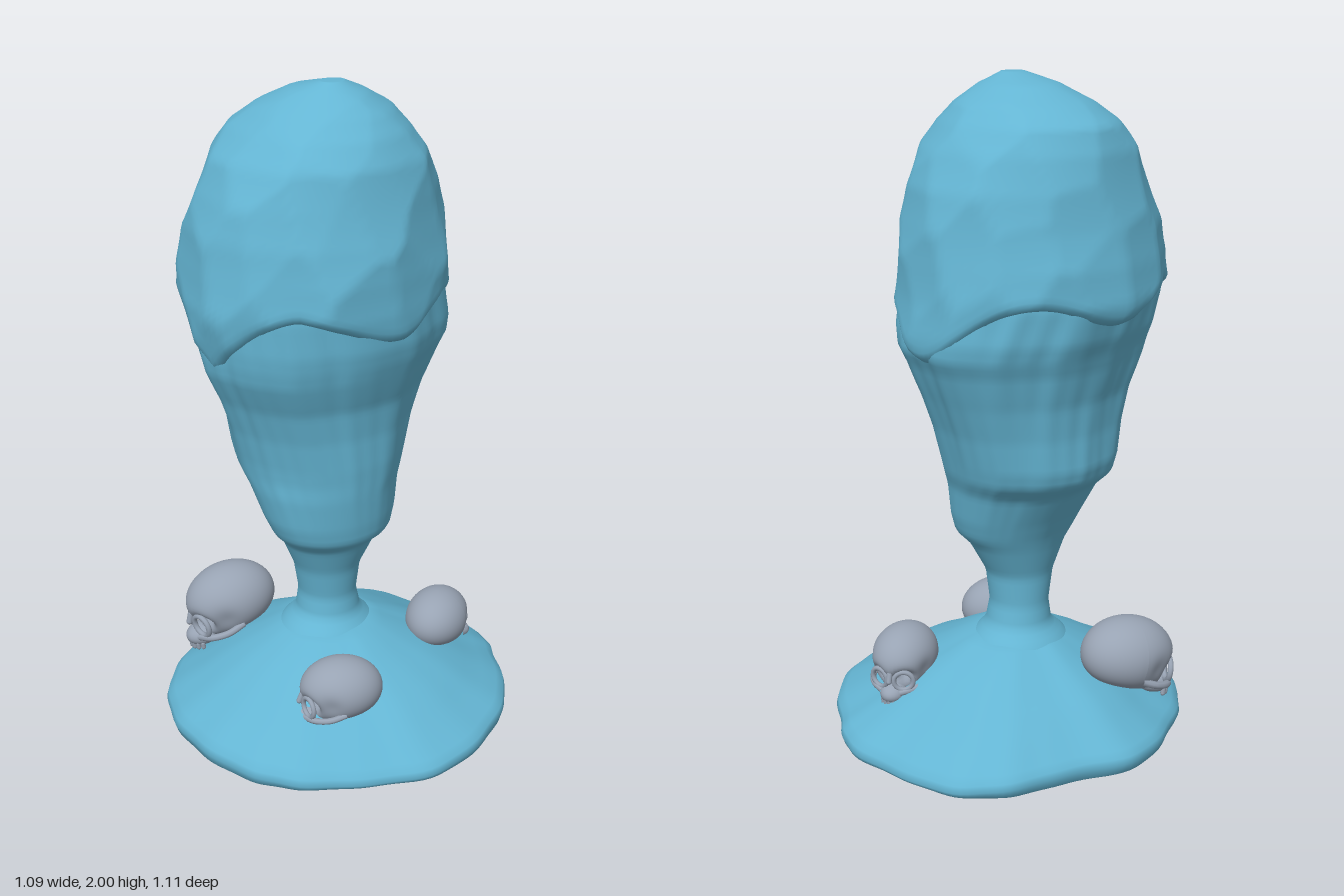
import * as THREE from 'three';

// Body silhouette: y, min x, max x, min z, max z
const STEM = [
  [0.24, -0.2, 0.13, -0.15, 0.19], [0.28, -0.185, 0.11, -0.135, 0.175], [0.33, -0.14, 0.065, -0.085, 0.12],
  [0.4, -0.13, 0.055, -0.07, 0.11], [0.5, -0.135, 0.07, -0.08, 0.13], [0.6, -0.165, 0.11, -0.135, 0.175],
  [0.64, -0.18, 0.155, -0.17, 0.215], [0.7, -0.21, 0.165, -0.19, 0.24], [0.8, -0.27, 0.175, -0.21, 0.265],
  [0.85, -0.33, 0.18, -0.235, 0.275], [0.9, -0.345, 0.185, -0.25, 0.285], [1.0, -0.345, 0.19, -0.28, 0.31],
  [1.1, -0.355, 0.205, -0.32, 0.345], [1.2, -0.385, 0.245, -0.365, 0.395], [1.25, -0.405, 0.265, -0.395, 0.41],
];
const HOOD = [
  [1.3, -0.43, 0.28, -0.4, 0.42], [1.4, -0.46, 0.29, -0.385, 0.43], [1.5, -0.45, 0.285, -0.375, 0.42],
  [1.6, -0.425, 0.27, -0.36, 0.405], [1.7, -0.405, 0.25, -0.34, 0.37], [1.8, -0.385, 0.23, -0.29, 0.32],
  [1.87, -0.355, 0.19, -0.24, 0.255], [1.92, -0.28, 0.14, -0.19, 0.195], [1.97, -0.17, 0.07, -0.1, 0.115],
  [2.0, -0.04, 0.02, -0.02, 0.05],
];
const TABLE = [...STEM, ...HOOD];

function sectionAt(y) {
  let i = 0;
  while (i < TABLE.length - 2 && y > TABLE[i + 1][0]) i++;
  const a = TABLE[i], b = TABLE[i + 1];
  const t = THREE.MathUtils.clamp((y - a[0]) / (b[0] - a[0]), 0, 1);
  const s = a.map((v, k) => v + (b[k] - v) * t);
  return { cx: (s[1] + s[2]) / 2, hx: (s[2] - s[1]) / 2, cz: (s[3] + s[4]) / 2, hz: (s[4] - s[3]) / 2 };
}

// Closed rings from bottom to top; angle 0 faces +z and grows towards +x
function loft(rows, cols, point) {
  const pos = [], idx = [];
  for (let i = 0; i <= rows; i++) {
    for (let j = 0; j < cols; j++) pos.push(...point(i, (j / cols) * Math.PI * 2));
  }
  for (let i = 0; i < rows; i++) {
    for (let j = 0; j < cols; j++) {
      const k = (j + 1) % cols, a = i * cols, b = a + cols;
      idx.push(a + j, a + k, b + k, a + j, b + k, b + j);
    }
  }
  const g = new THREE.BufferGeometry();
  g.setAttribute('position', new THREE.Float32BufferAttribute(pos, 3));
  g.setIndex(idx);
  g.computeVertexNormals();
  return g;
}

// Facet directions that chisel the hood
let seed = 7;
const rand = () => (seed = (seed * 16807) % 2147483647) / 2147483647;
const FACETS = Array.from({ length: 80 }, (_, i) => {
  const y = 1 - (2 * i + 1) / 80, r = Math.sqrt(1 - y * y), a = i * 2.39996;
  return new THREE.Vector3(Math.cos(a) * r + (rand() - 0.5) * 0.25, y + (rand() - 0.5) * 0.25,
    Math.sin(a) * r + (rand() - 0.5) * 0.25).normalize();
});
const chisel = (d) => 0.985 / Math.max(...FACETS.map((f) => f.dot(d)));

// Scalloped lower edge of the hood: pointed dip in front, soft dips elsewhere
function lipHeight(a) {
  const wrap = (c) => Math.abs(Math.atan2(Math.sin(a - c), Math.cos(a - c)));
  const dip = (c, s) => Math.exp(-((wrap(c) / s) ** 2));
  return 1.43 - 0.21 * Math.max(0, 1 - wrap(0) / 0.85) ** 1.4 - 0.1 * dip(Math.PI / 2, 0.5)
    - 0.08 * dip(-Math.PI / 2, 0.45) - 0.19 * dip(Math.PI, 0.5);
}

function hoodGeometry() {
  return loft(56, 120, (i, a) => {
    const lip = lipHeight(a);
    // first rows curl under the lip
    const y = i < 4 ? lip + [0.04, 0.004, -0.008, 0.006][i]
      : lip + (2 - lip) * Math.sin(((i - 3) / 53) * Math.PI / 2);
    const inset = i < 4 ? [0.9, 0.94, 0.965, 0.988][i] : 1;
    const s = sectionAt(y), size = i === 56 ? 0 : inset;
    const x = s.hx * Math.sin(a) * size, z = s.hz * Math.cos(a) * size;
    const k = chisel(new THREE.Vector3(x / 0.375, (y - 1.4) / 0.6, z / 0.405).normalize());
    return [s.cx + x * k, y, s.cz + z * k];
  });
}

// Draped folds below the hood, narrowing into the stem
function skirtGeometry() {
  return loft(80, 144, (i, a) => {
    const y = 0.24 + (i / 80) * 1.26, s = sectionAt(y);
    const inset = 1 - 0.045 * THREE.MathUtils.smoothstep(y, 1.1, 1.45);
    const fade = THREE.MathUtils.smoothstep(y, 0.5, 1.1);
    const twist = a + 0.35 * (y - 1) * Math.sin(a + 0.5);
    const fold = 0.014 * Math.sin(7 * twist + 2 * y) + 0.009 * Math.sin(13 * twist - 3 * y)
      + 0.006 * Math.sin(29 * twist + 2) * Math.sin(3 * a + 4 * y);
    const k = inset * (1 + (fold - 0.01) * fade);
    return [s.cx + s.hx * Math.sin(a) * k, y, s.cz + s.hz * Math.cos(a) * k];
  });
}

// Spreading foot: irregular rim seen from above (x, z) and profile (fraction of rim, y)
const RIM = new THREE.CatmullRomCurve3([
  [0, 0.55], [0.2, 0.51], [0.33, 0.42], [0.45, 0.25], [0.54, 0.05], [0.505, -0.18], [0.4, -0.36],
  [0.22, -0.49], [0.1, -0.55], [-0.1, -0.535], [-0.3, -0.48], [-0.41, -0.36], [-0.47, -0.18],
  [-0.545, 0.03], [-0.48, 0.24], [-0.37, 0.41], [-0.2, 0.52],
].map(([x, z]) => new THREE.Vector3(x, 0, z)), true);
const FOOT = [[0, 0.05], [0.45, 0.042], [0.75, 0.02], [0.9, 0.003], [0.95, 0], [0.985, 0.012], [1, 0.035],
  [0.99, 0.055], [0.95, 0.075], [0.87, 0.103], [0.77, 0.138], [0.65, 0.178], [0.52, 0.218], [0.4, 0.254],
  [0.3, 0.283], [0.22, 0.3], [0, 0.305]];
function footGeometry() {
  return loft(FOOT.length - 1, 136, (i, a) => {
    const [f, h] = FOOT[i];
    const p = RIM.getPoint(a / (Math.PI * 2));
    const wave = i > 5 ? f * f * 0.008 * Math.sin(3 * a + 1) + 0.004 * f * Math.sin(2 * a + f * 16) : 0;
    const ripple = 1 + 0.005 * Math.sin(19 * a) * f;
    return [p.x * f * ripple - 0.035 * (1 - f), h + wave, p.z * f * ripple + 0.018 * (1 - f)];
  });
}

// Bumps and hollows of the cranium: direction, height, sharpness
const FEATURES = [[0, -1, -0.35, -0.022, 5], [0, -0.36, 0.93, -0.025, 130], [0, -0.7, 0.7, 0.012, 12]];
for (const s of [-1, 1]) {
  FEATURES.push([s * 0.35, -0.28, 0.9, -0.055, 38], [s * 0.92, -0.15, 0.5, -0.01, 18]);
}
const FEATURE_DIRS = FEATURES.map((f) => new THREE.Vector3(f[0], f[1], f[2]).normalize());

function craniumGeometry() {
  const g = new THREE.SphereGeometry(1, 64, 48), p = g.attributes.position, d = new THREE.Vector3();
  for (let i = 0; i < p.count; i++) {
    d.fromBufferAttribute(p, i).normalize();
    let r = 1 / Math.hypot(d.x / 0.104, d.y / 0.102, d.z / 0.132);
    FEATURES.forEach((f, k) => { r += f[3] * Math.exp(-f[4] * (1 - d.dot(FEATURE_DIRS[k]))); });
    p.setXYZ(i, d.x * r, d.y * r, d.z * r);
  }
  g.computeVertexNormals();
  return g;
}

export function createModel() {
  const teal = new THREE.MeshStandardMaterial({ color: 0x64b5d3 });
  teal.name = 'teal stone';
  const grey = new THREE.MeshStandardMaterial({ color: 0x98a3b3 });
  grey.name = 'grey bone';
  const model = new THREE.Group();
  const add = (parent, geometry, material, name) => {
    const mesh = new THREE.Mesh(geometry, material);
    mesh.name = name;
    parent.add(mesh);
    return mesh;
  };

  add(model, footGeometry(), teal, 'foot');
  add(model, skirtGeometry(), teal, 'drapedStem');
  add(model, hoodGeometry(), teal, 'hood');

  // Shared skull parts, facing +z
  const cranium = craniumGeometry();
  const muzzle = new THREE.SphereGeometry(1, 24, 16).scale(0.042, 0.032, 0.05).translate(0, -0.084, 0.1);
  const noseBone = new THREE.CapsuleGeometry(0.009, 0.025, 4, 10).rotateX(-0.35).translate(0, -0.022, 0.128);
  const tooth = new THREE.CapsuleGeometry(0.007, 0.012, 3, 8);
  const socketRims = [-1, 1].map((s) => new THREE.TorusGeometry(0.031, 0.008, 8, 28)
    .rotateY(s * 0.35).translate(s * 0.041, -0.035, 0.11));
  const cheekbones = [-1, 1].map((s) => new THREE.TubeGeometry(new THREE.CatmullRomCurve3([
    new THREE.Vector3(s * 0.03, -0.075, 0.12), new THREE.Vector3(s * 0.07, -0.066, 0.095),
    new THREE.Vector3(s * 0.09, -0.058, 0.05), new THREE.Vector3(s * 0.088, -0.045, 0),
  ]), 14, 0.01, 8));

  // Skulls: x, y, z, heading, forward pitch, scale
  const SKULLS = [
    ['frontRightSkull', -0.355, 0.27, 0.175, -0.25, 0.15, 1.15],
    ['leftSkull', 0.235, 0.228, 0.185, -0.48, -0.02, 0.97],
    ['backSkull', 0.14, 0.245, -0.295, Math.PI + 0.48, 0.05, 0.95],
  ];
  for (const [name, x, y, z, heading, pitch, scale] of SKULLS) {
    const skull = new THREE.Group();
    skull.name = name;
    skull.position.set(x, y, z);
    skull.rotation.set(pitch, heading, 0, 'YXZ');
    skull.scale.setScalar(scale);
    add(skull, cranium, grey, 'cranium');
    add(skull, muzzle, grey, 'upperJaw');
    add(skull, noseBone, grey, 'noseBone');
    socketRims.forEach((g) => add(skull, g, grey, 'eyeSocketRim'));
    cheekbones.forEach((g) => add(skull, g, grey, 'cheekbone'));
    for (let i = -3; i <= 3; i++) {
      const a = i * 0.38;
      add(skull, tooth, grey, 'tooth').position.set(Math.sin(a) * 0.035, -0.106, 0.1 + Math.cos(a) * 0.038);
    }
    model.add(skull);
  }
  return model;
}
